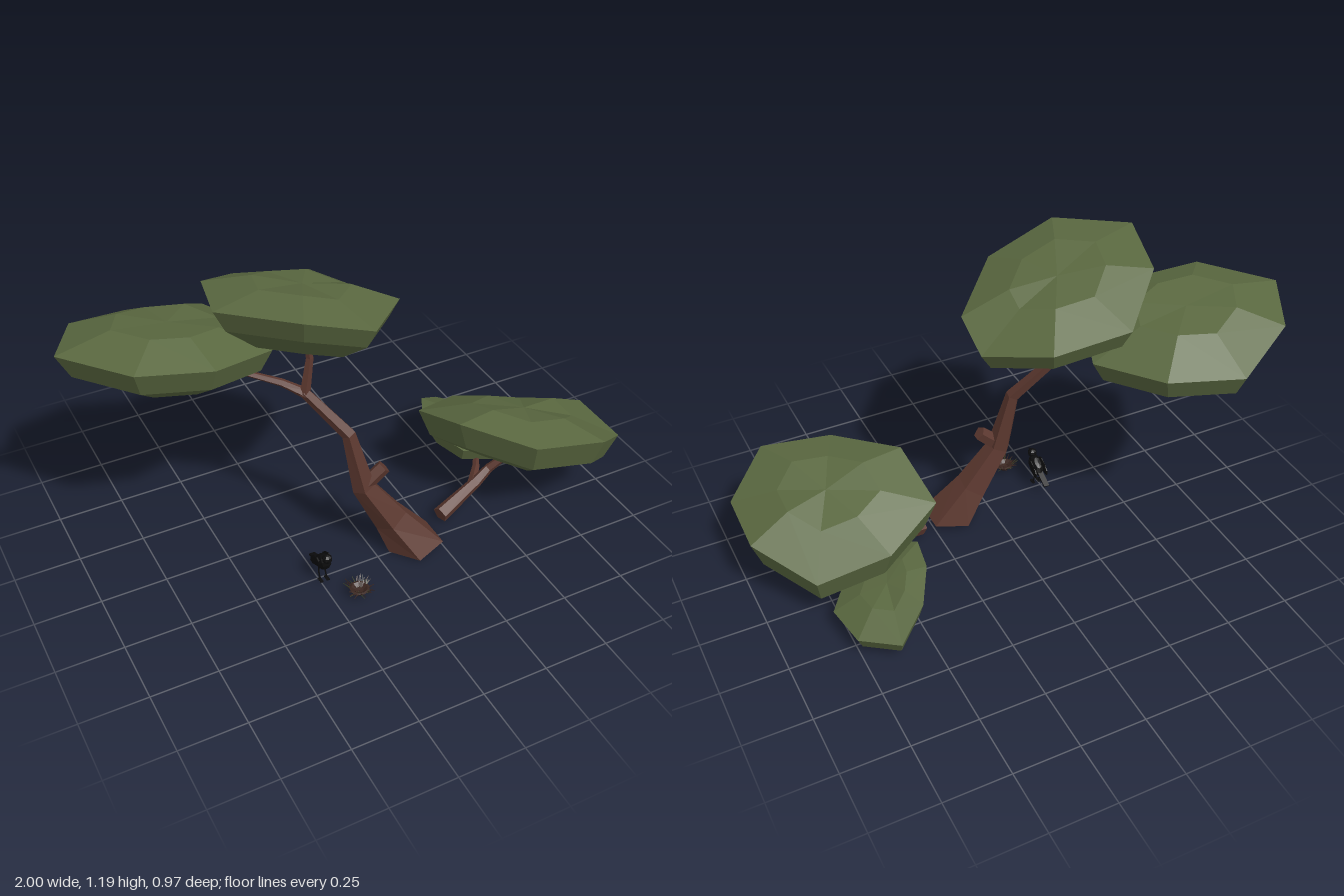
import * as THREE from 'three';

const V = (p) => new THREE.Vector3(...p);

const mat = (name, color) => {
  const m = new THREE.MeshStandardMaterial({ color });
  m.name = name;
  m.flatShading = true;
  return m;
};

// Closed faceted skin over a stack of rings, with both ends capped
function skin(rings) {
  const pos = [];
  const tri = (...pts) => pts.forEach((p) => pos.push(p.x, p.y, p.z));
  const centre = (r) => r.reduce((s, p) => s.add(p), new THREE.Vector3()).divideScalar(r.length);
  const n = rings[0].length, last = rings[rings.length - 1];
  const c0 = centre(rings[0]), c1 = centre(last);
  for (let i = 0; i < n; i++) {
    const j = (i + 1) % n;
    tri(c0, rings[0][i], rings[0][j]);
    for (let k = 0; k + 1 < rings.length; k++) {
      const a = rings[k], b = rings[k + 1];
      tri(a[i], b[i], b[j]);
      tri(a[i], b[j], a[j]);
    }
    tri(c1, last[j], last[i]);
  }
  const g = new THREE.BufferGeometry();
  g.setAttribute('position', new THREE.Float32BufferAttribute(pos, 3));
  g.computeVertexNormals();
  return g;
}

// Flat foliage pad: raised top, sloping wall, lowered underside
function canopy(rim, rise, wall, depth) {
  const pts = rim.map(V);
  const c = pts.reduce((s, p) => s.add(p), new THREE.Vector3()).divideScalar(pts.length);
  const ring = (scale, dy) => pts.map((p) => {
    const q = p.clone().sub(c).multiplyScalar(scale).add(c);
    q.y += dy;
    return q;
  });
  return skin([ring(0.5, rise), ring(1, 0), ring(0.88, -wall), ring(0.55, -depth)]);
}

// Tapering limb through [x, y, z, radius] stations
function limb(stations, sides = 5, firstAxis = null) {
  const c = stations.map((s) => V(s.slice(0, 3)));
  const rings = c.map((p, k) => {
    const t = c[Math.min(k + 1, c.length - 1)].clone().sub(c[Math.max(k - 1, 0)]).normalize();
    if (k === 0 && firstAxis) t.copy(V(firstAxis)).normalize();
    const u = new THREE.Vector3(0, 0, 1).cross(t).normalize();
    const v = t.clone().negate().cross(u);
    return Array.from({ length: sides }, (_, i) => {
      const a = (i / sides) * Math.PI * 2, r = stations[k][3];
      return p.clone().addScaledVector(u, Math.cos(a) * r).addScaledVector(v, Math.sin(a) * r);
    });
  });
  return skin(rings);
}

export function createModel() {
  const model = new THREE.Group();
  model.name = 'brokenTree';
  const leaf = mat('leafGreen', 0x5a6840);
  const bark = mat('barkBrown', 0x5c382f);
  const black = mat('birdBlack', 0x0c0c0d);
  const twig = mat('nestBrown', 0x3a2620);
  const moss = mat('nestMoss', 0x3c4229);
  const add = (name, geo, m, parent = model) => {
    const mesh = new THREE.Mesh(geo, m);
    mesh.name = name;
    parent.add(mesh);
    return mesh;
  };

  // Foliage
  add('upperCanopy', canopy([
    [-0.55, 1.19, 0.145], [-0.32, 1.18, 0.325], [-0.065, 1.08, 0.33], [0.15, 1.015, 0.1],
    [0.15, 0.945, -0.06], [-0.03, 1.0, -0.245], [-0.31, 1.04, -0.28], [-0.49, 1.15, -0.11],
  ], 0.055, 0.08, 0.165), leaf);
  add('leftCanopy', canopy([
    [-0.81, 0.99, 0.09], [-0.55, 0.96, 0.14], [-0.31, 0.915, 0.05], [-0.235, 0.855, -0.155],
    [-0.39, 0.875, -0.395], [-0.65, 0.87, -0.487], [-0.885, 0.95, -0.37], [-1, 0.985, -0.145],
  ], 0.07, 0.09, 0.155), leaf);
  add('fallenCanopy', canopy([
    [0.37, 0.455, 0.19], [0.565, 0.425, 0.415], [0.82, 0.415, 0.48], [0.99, 0.3, 0.355],
    [0.995, 0.295, 0.095], [0.83, 0.215, -0.12], [0.565, 0.29, -0.17], [0.34, 0.365, -0.06],
  ], 0.055, 0.115, 0.17), leaf);
  add('smallFallenCanopy', canopy([
    [0.445, 0.215, -0.2], [0.425, 0.22, -0.07], [0.5, 0.17, 0.03], [0.66, 0.11, 0.03],
    [0.785, 0.075, -0.13], [0.76, 0.085, -0.31], [0.635, 0.1, -0.415], [0.52, 0.18, -0.34],
  ], 0.03, 0.06, 0.085), leaf);

  // Standing tree
  add('trunk', limb([
    [0.16, 0.012, 0.245, 0.11], [0.07, 0.145, 0.215, 0.068], [-0.035, 0.32, 0.195, 0.045],
    [-0.083, 0.56, 0.17, 0.027], [-0.215, 0.735, 0.085, 0.02],
  ], 5, [-0.11, 1, 0]), bark);
  add('brokenStub', limb([[-0.03, 0.33, 0.2, 0.03], [0.04, 0.395, 0.21, 0.028]]), bark);
  add('leftBranch', limb([
    [-0.2, 0.72, 0.09, 0.021], [-0.28, 0.77, 0.05, 0.015], [-0.43, 0.835, -0.01, 0.01],
  ]), bark);
  add('upperBranch', limb([
    [-0.213, 0.72, 0.088, 0.02], [-0.187, 0.865, 0.08, 0.014], [-0.2, 0.96, 0.075, 0.008],
  ]), bark);
  add('upperTwig', limb([
    [-0.187, 0.86, 0.08, 0.011], [-0.155, 0.865, 0.02, 0.008], [-0.13, 0.89, -0.06, 0.004],
  ]), bark);

  // Fallen bough
  add('fallenBough', limb([
    [0.305, 0.04, 0.19, 0.033], [0.5, 0.085, 0.13, 0.024],
    [0.56, 0.13, 0.125, 0.019], [0.64, 0.21, 0.16, 0.012],
  ]), bark);
  add('fallenTwig', limb([
    [0.48, 0.083, 0.135, 0.02], [0.55, 0.085, 0.05, 0.015], [0.62, 0.07, -0.06, 0.01],
  ]), bark);

  // Bird, facing forward
  const bird = new THREE.Group();
  bird.name = 'bird';
  bird.position.set(-0.238, 0, 0.268);
  model.add(bird);
  const body = add('birdBody', new THREE.SphereGeometry(1, 8, 6), black, bird);
  body.scale.set(0.026, 0.031, 0.05);
  body.position.set(0, 0.095, 0);
  body.rotation.x = -0.65;
  const head = add('birdHead', new THREE.SphereGeometry(0.019, 8, 6), black, bird);
  head.position.set(0, 0.135, 0.034);
  add('birdBeak', limb([[0, 0.136, 0.044, 0.008], [0, 0.14, 0.066, 0.001]], 4), black, bird);
  const tail = add('birdTail', new THREE.BoxGeometry(0.022, 0.007, 0.08), black, bird);
  tail.position.set(0, 0.07, -0.06);
  tail.rotation.x = -0.45;
  for (const s of [-1, 1]) {
    const wing = add('birdWing', new THREE.SphereGeometry(1, 6, 4), black, bird);
    wing.scale.set(0.006, 0.02, 0.048);
    wing.position.set(s * 0.024, 0.095, -0.018);
    wing.rotation.x = -0.6;
    add('birdLeg', limb([
      [s * 0.012, 0.075, -0.005, 0.005], [s * 0.013, 0.045, -0.012, 0.003], [s * 0.013, 0.01, 0, 0.003],
    ], 4), black, bird);
    const foot = add('birdFoot', new THREE.BoxGeometry(0.012, 0.004, 0.026), black, bird);
    foot.position.set(s * 0.013, 0.01, 0.004);
  }

  // Nest: shallow bowl bristling with twigs
  const nest = new THREE.Group();
  nest.name = 'nest';
  nest.position.set(-0.155, 0.014, 0.397);
  model.add(nest);
  const bowl = [[0.001, 0], [0.02, 0.002], [0.038, 0.022], [0.03, 0.024], [0.015, 0.012], [0.001, 0.01]];
  add('nestBowl', new THREE.LatheGeometry(bowl.map((p) => new THREE.Vector2(...p)), 9), twig, nest);
  let seed = 7;
  const rnd = () => (seed = (seed * 16807) % 2147483647) / 2147483647;
  for (let i = 0; i < 42; i++) {
    const a = i * 2.4, b = a + (rnd() - 0.5) * 0.9;
    const r0 = 0.012 + rnd() * 0.012, r1 = 0.042 + rnd() * 0.018;
    const y0 = 0.006 + rnd() * 0.008, y1 = 0.016 + rnd() * 0.032;
    add('nestTwig', limb([
      [Math.cos(a) * r0, y0, Math.sin(a) * r0, 0.003],
      [Math.cos(b) * r1, y1, Math.sin(b) * r1, 0.0012],
    ], 3), i % 3 ? twig : moss, nest);
  }
  return model;
}
